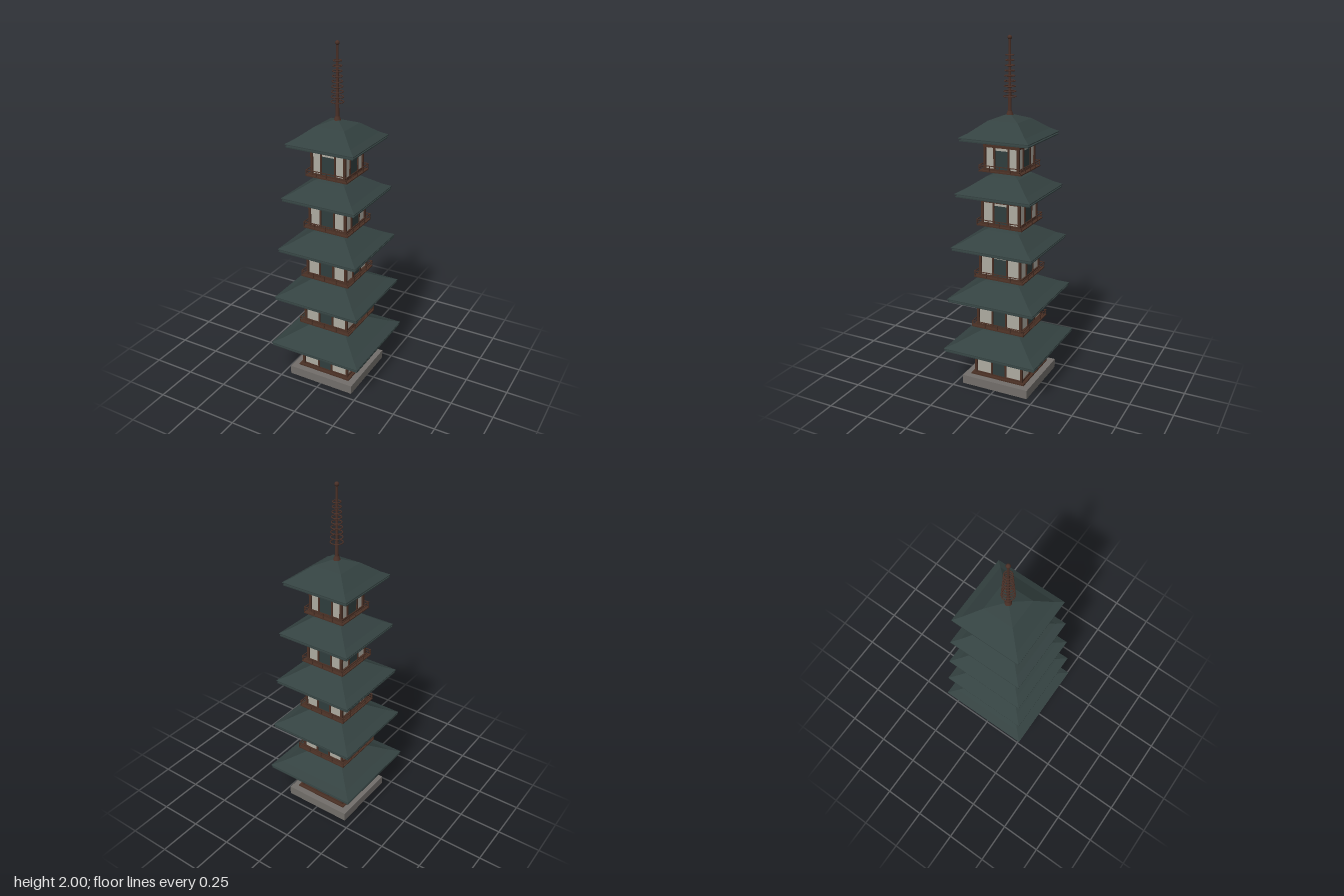
import * as THREE from 'three';

const mat = (name, color, extra = {}) => {
  const m = new THREE.MeshStandardMaterial({ color, ...extra });
  m.name = name;
  return m;
};

export function createModel() {
  const roofTile = mat('roofTile', 0x344241, { side: THREE.DoubleSide });
  const door = mat('doorGreen', 0x2f3d3d);
  const wood = mat('wood', 0x4a3025);
  const plaster = mat('plaster', 0xaeaba1);
  const stone = mat('stone', 0x726e6a);
  const metal = mat('bronze', 0x4a3027);

  const pagoda = new THREE.Group();
  pagoda.name = 'pagoda';

  const add = (parent, name, geo, material, x = 0, y = 0, z = 0) => {
    const m = new THREE.Mesh(geo, material);
    m.name = name;
    m.position.set(x, y, z);
    parent.add(m);
    return m;
  };
  // Box given by its bottom and top heights
  const box = (parent, name, material, w, y0, y1, d, x = 0, z = 0) =>
    add(parent, name, new THREE.BoxGeometry(w, y1 - y0, d), material, x, (y0 + y1) / 2, z);

  // Four-sided surface from a [half width, height] profile, listed upwards
  const squareLathe = (profile) => {
    const pts = profile.map(([r, y]) => new THREE.Vector2(r * Math.SQRT2, y));
    const g = new THREE.LatheGeometry(pts, 4, Math.PI / 4).toNonIndexed();
    g.computeVertexNormals();
    return g;
  };

  // Call build(side) for each of the four sides, facing outwards along +z
  const fourSides = (parent, name, build) => {
    for (let i = 0; i < 4; i++) {
      const side = new THREE.Group();
      side.name = name;
      side.rotation.y = (i * Math.PI) / 2;
      build(side);
      parent.add(side);
    }
  };

  // Walls with posts, beams, plaster panels and a central door
  const addBody = (tier, half) => {
    box(tier, 'wallCore', plaster, 2 * half - 0.016, 0, 0.174, 2 * half - 0.016);
    fourSides(tier, 'wallSide', (s) => {
      const zf = half - 0.008;
      box(s, 'cornerPost', wood, 0.014, 0, 0.174, 0.014, half - 0.007, half - 0.007);
      for (const x of [-1, 1]) box(s, 'doorPost', wood, 0.01, 0, 0.14, 0.012, x * 0.043, zf);
      box(s, 'door', door, 0.074, 0.012, 0.118, 0.006, 0, zf);
      box(s, 'sillBeam', wood, 2 * half - 0.014, 0.004, 0.016, 0.012, 0, zf);
      box(s, 'headBeam', wood, 2 * half - 0.002, 0.134, 0.148, 0.014, 0, zf + 0.002);
      box(s, 'bracketBoard', wood, 2 * half - 0.016, 0.148, 0.162, 0.01, 0, zf);
      box(s, 'eaveBeam', wood, 2 * half + 0.008, 0.158, 0.174, 0.016, 0, half - 0.004);
    });
  };

  const addBalcony = (tier, half) => {
    box(tier, 'balconyFloor', wood, 2 * half, 0, 0.006, 2 * half);
    fourSides(tier, 'railing', (s) => {
      const z = half - 0.003;
      box(s, 'topRail', wood, 2 * half, 0.033, 0.037, 0.004, 0, z);
      box(s, 'midRail', wood, 2 * half, 0.019, 0.022, 0.003, 0, z);
      for (let i = 0; i < 4; i++)
        box(s, 'railPost', wood, 0.004, 0.004, 0.036, 0.004, z * (-1 + i / 2), z);
    });
  };

  // Bowed hip roof over a thin eave board
  const addRoof = (tier, half) => {
    add(tier, 'roof', squareLathe([
      [half, 0.187], [half, 0.192], [half * 0.82, 0.213], [half * 0.43, 0.274], [0.0001, 0.307],
    ]), roofTile);
    box(tier, 'eaveBoard', roofTile, 2 * half - 0.006, 0.173, 0.179, 2 * half - 0.006);
  };

  // Stone base and ground-floor step
  box(pagoda, 'stoneBase', stone, 0.414, 0, 0.053, 0.414);
  box(pagoda, 'groundStep', wood, 0.338, 0.053, 0.061, 0.338);

  // Five storeys, each a little smaller
  for (let i = 0; i < 5; i++) {
    const tier = new THREE.Group();
    tier.name = 'storey' + (i + 1);
    tier.position.y = 0.053 + i * 0.307;
    addBody(tier, 0.153 - i * 0.0115);
    if (i > 0) addBalcony(tier, 0.176 - i * 0.0122);
    addRoof(tier, 0.285 - i * 0.02);
    pagoda.add(tier);
  }

  // Spire with nine open rings
  const spire = new THREE.Group();
  spire.name = 'spire';
  add(spire, 'spireBase', new THREE.CylinderGeometry(0.012, 0.02, 0.022, 16), metal, 0, 1.591, 0);
  add(spire, 'lowerShaft', new THREE.CylinderGeometry(0.009, 0.011, 0.1, 12), metal, 0, 1.63, 0);
  add(spire, 'upperShaft', new THREE.CylinderGeometry(0.006, 0.008, 0.33, 12), metal, 0, 1.825, 0);
  add(spire, 'finial', new THREE.SphereGeometry(0.012, 16, 12), metal, 0, 1.988, 0);
  for (let i = 0; i < 9; i++) {
    const ring = add(spire, 'spireRing',
      new THREE.TorusGeometry(0.034 - i * 0.0016, 0.003, 8, 28), metal, 0, 1.68 + i * 0.0272, 0);
    ring.rotation.x = Math.PI / 2;
  }
  pagoda.add(spire);

  return pagoda;
}
